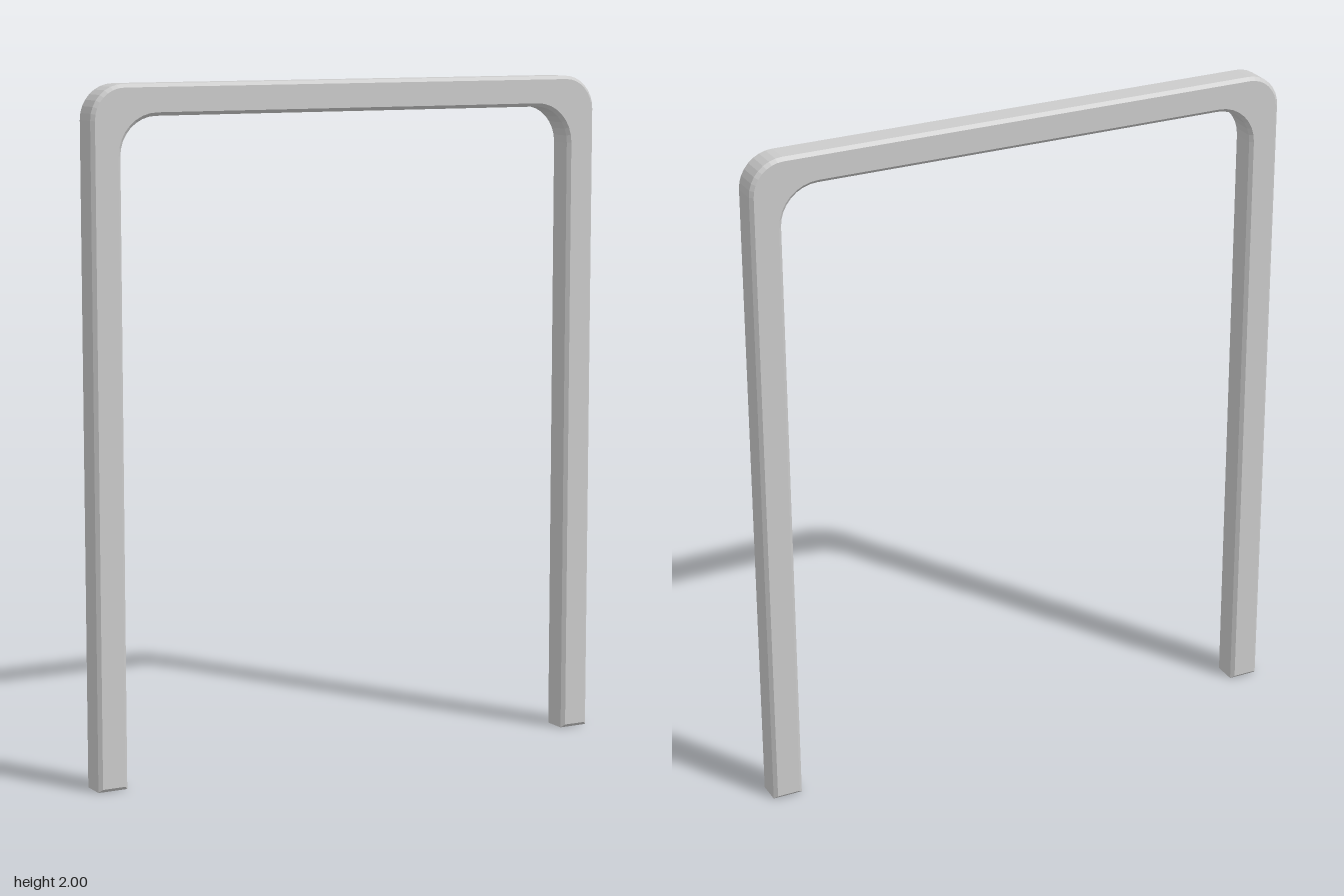
import * as THREE from 'three';

export function createModel() {
  const group = new THREE.Group();
  group.name = 'archFrame';

  const outerX = 0.825, bar = 0.09, height = 2, depth = 0.09, chamfer = 0.01;
  const innerX = outerX - bar, innerY = height - bar;
  const outerR = 0.1, innerR = 0.11;

  // Outline of two legs joined by a top bar with rounded corners
  const outline = new THREE.Shape();
  outline.moveTo(-outerX, 0);
  outline.lineTo(-innerX, 0);
  outline.absarc(-innerX + innerR, innerY - innerR, innerR, Math.PI, Math.PI / 2, true);
  outline.absarc(innerX - innerR, innerY - innerR, innerR, Math.PI / 2, 0, true);
  outline.lineTo(innerX, 0);
  outline.lineTo(outerX, 0);
  outline.absarc(outerX - outerR, height - outerR, outerR, 0, Math.PI / 2, false);
  outline.absarc(-outerX + outerR, height - outerR, outerR, Math.PI / 2, Math.PI, false);
  outline.closePath();

  // Thin bar with chamfered edges, centred in depth
  const geometry = new THREE.ExtrudeGeometry(outline, {
    depth: depth - 2 * chamfer,
    curveSegments: 4,
    bevelEnabled: true,
    bevelThickness: chamfer,
    bevelSize: chamfer,
    bevelOffset: -chamfer,
    bevelSegments: 1,
  });
  geometry.translate(0, 0, -depth / 2 + chamfer);

  const frame = new THREE.Mesh(
    geometry,
    new THREE.MeshStandardMaterial({ color: 0xcccccc, flatShading: true })
  );
  frame.name = 'frame';
  group.add(frame);
  return group;
}
